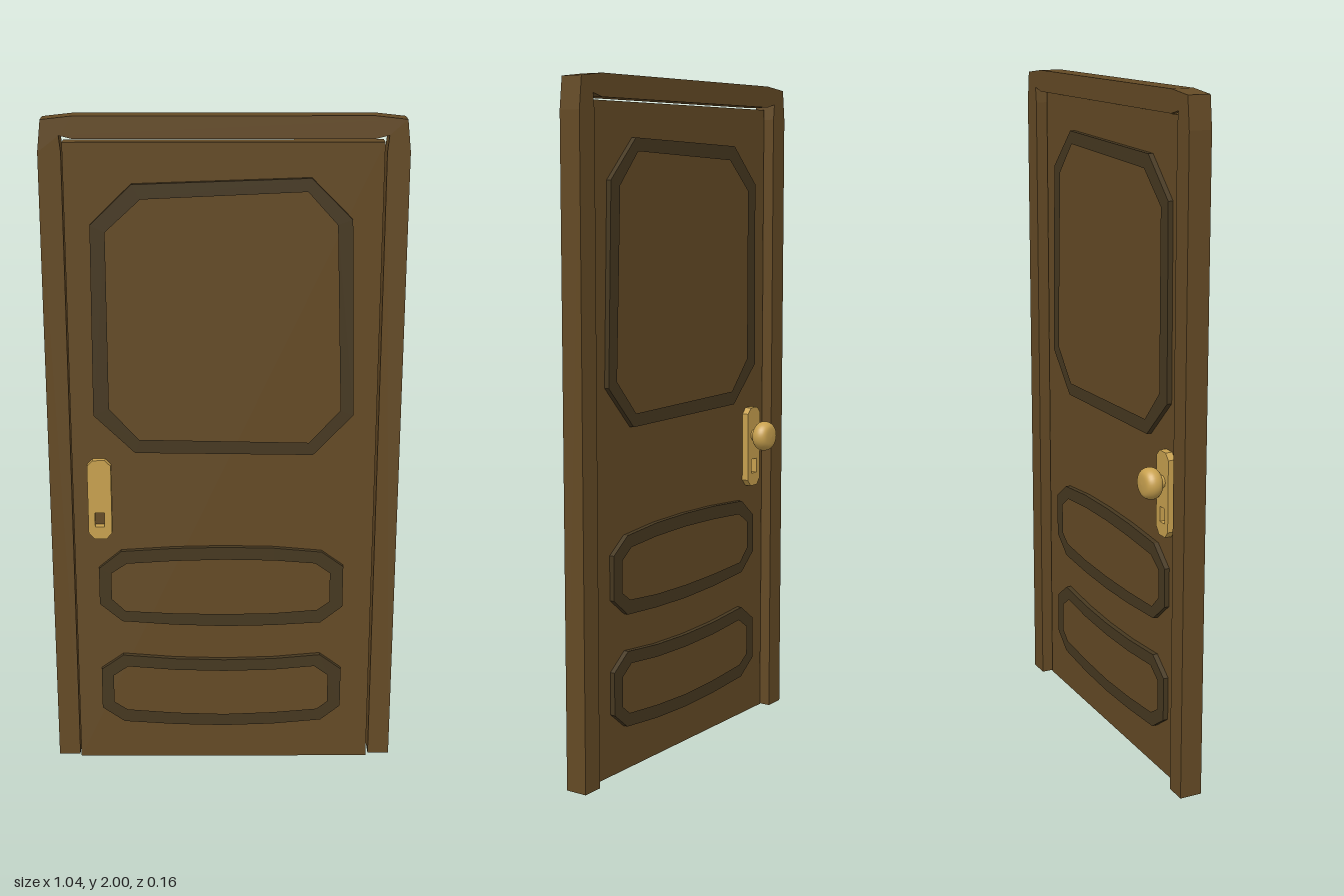
import * as THREE from 'three';

const wood = new THREE.MeshStandardMaterial({ color: 0x644a25, flatShading: true });
const darkWood = new THREE.MeshStandardMaterial({ color: 0x463820, flatShading: true });
const brass = new THREE.MeshStandardMaterial({ color: 0xc8a14f, flatShading: true });
const smoothBrass = new THREE.MeshStandardMaterial({ color: 0xc8a14f });

const toPoints = (list) => list.map(([x, y]) => new THREE.Vector2(x, y));

// Flat slab between two depths, cut from an outline with an optional hole
function slab(name, outline, hole, zBack, zFront, material) {
  const shape = new THREE.Shape(toPoints(outline));
  if (hole) shape.holes.push(new THREE.Path(toPoints(hole)));
  const geometry = new THREE.ExtrudeGeometry(shape, { depth: zFront - zBack, bevelEnabled: false });
  geometry.translate(0, 0, zBack);
  const mesh = new THREE.Mesh(geometry, material);
  mesh.name = name;
  return mesh;
}

// Depths of the door leaf and the parts lying on it
const DOOR_BACK = 0.005, DOOR_FRONT = 0.055, TRIM = 0.015, PLATE = 0.021;

// Moulding rings: [name, outer outline, inner outline]
const mouldings = [
  ['upperMoulding',
    [[-0.26, 1.815], [0.245, 1.832], [0.362, 1.715], [0.378, 1.138], [0.262, 1.015], [-0.262, 1.022], [-0.382, 1.138], [-0.378, 1.7]],
    [[-0.235, 1.773], [0.235, 1.794], [0.32, 1.7], [0.34, 1.153], [0.25, 1.053], [-0.25, 1.063], [-0.336, 1.158], [-0.336, 1.68]]],
  ['middleMoulding',
    [[-0.31, 0.707], [-0.15, 0.717], [0, 0.72], [0.15, 0.717], [0.294, 0.704], [0.36, 0.656], [0.36, 0.524], [0.294, 0.471],
      [0.15, 0.462], [0, 0.459], [-0.15, 0.464], [-0.31, 0.476], [-0.378, 0.534], [-0.378, 0.651]],
    [[-0.294, 0.667], [-0.15, 0.676], [0, 0.68], [0.15, 0.677], [0.275, 0.667], [0.32, 0.635], [0.32, 0.54], [0.283, 0.513],
      [0.15, 0.502], [0, 0.499], [-0.15, 0.502], [-0.3, 0.51], [-0.341, 0.55], [-0.341, 0.635]]],
  ['lowerMoulding',
    [[-0.31, 0.361], [-0.15, 0.348], [0, 0.344], [0.15, 0.348], [0.294, 0.361], [0.36, 0.312], [0.36, 0.185], [0.3, 0.136],
      [0.15, 0.122], [0, 0.117], [-0.15, 0.121], [-0.31, 0.132], [-0.378, 0.18], [-0.378, 0.312]],
    [[-0.296, 0.322], [-0.15, 0.31], [0, 0.306], [0.15, 0.31], [0.278, 0.322], [0.32, 0.291], [0.32, 0.2], [0.288, 0.174],
      [0.15, 0.162], [0, 0.156], [-0.15, 0.161], [-0.3, 0.173], [-0.341, 0.2], [-0.341, 0.291]]],
];

// Lock plate outline with chamfered corners, and its keyhole
const plateOutline = [[-0.405, 0.77], [-0.388, 0.75], [-0.352, 0.75], [-0.335, 0.77],
  [-0.335, 0.982], [-0.352, 1.0], [-0.388, 1.0], [-0.405, 0.982]];
const keyhole = [[-0.385, 0.79], [-0.357, 0.79], [-0.357, 0.835], [-0.385, 0.835]];

export function createModel() {
  const model = new THREE.Group();
  model.name = 'door';

  // Frame: one half outline, mirrored; open at the floor
  const outer = [[0.52, 0], [0.52, 1.9], [0.51, 1.99], [0.42, 2]];
  const inner = [[0.42, 1.936], [0.46, 1.946], [0.455, 1.9], [0.455, 0]];
  const mirror = (list) => list.map(([x, y]) => [-x, y]).reverse();
  model.add(slab('frame', [...outer, ...mirror(outer), ...mirror(inner), ...inner], null, -0.027, 0.04, wood));

  // Door leaf
  const leaf = [[-0.45, 0], [0.447, 0], [0.447, 1.93], [-0.45, 1.93]];
  model.add(slab('doorLeaf', leaf, null, DOOR_BACK, DOOR_FRONT, wood));

  // Mouldings and lock plates on both faces
  for (const [side, base, dir] of [['front', DOOR_FRONT, 1], ['back', DOOR_BACK, -1]]) {
    const add = (name, outline, hole, height, material) => {
      const end = base + dir * height;
      model.add(slab(side + name, outline, hole, Math.min(base, end), Math.max(base, end), material));
    };
    for (const [name, outline, hole] of mouldings) {
      add(name[0].toUpperCase() + name.slice(1), outline, hole, TRIM, darkWood);
    }
    add('LockPlate', plateOutline, keyhole, PLATE, brass);
  }

  // Round knob on the back, turned on a lathe with a short neck
  const profile = new THREE.SplineCurve(toPoints([
    [0.018, 0.02], [0.032, 0.022], [0.042, 0.031], [0.046, 0.042], [0.045, 0.055], [0.038, 0.067], [0.026, 0.073], [0, 0.075],
  ])).getPoints(24);
  profile[profile.length - 1].x = 0;
  profile.unshift(new THREE.Vector2(0.018, 0));
  const knob = new THREE.Mesh(new THREE.LatheGeometry(profile, 32), smoothBrass);
  knob.name = 'knob';
  knob.rotation.x = -Math.PI / 2;
  knob.position.set(-0.37, 0.912, -0.008);
  model.add(knob);

  return model;
}
